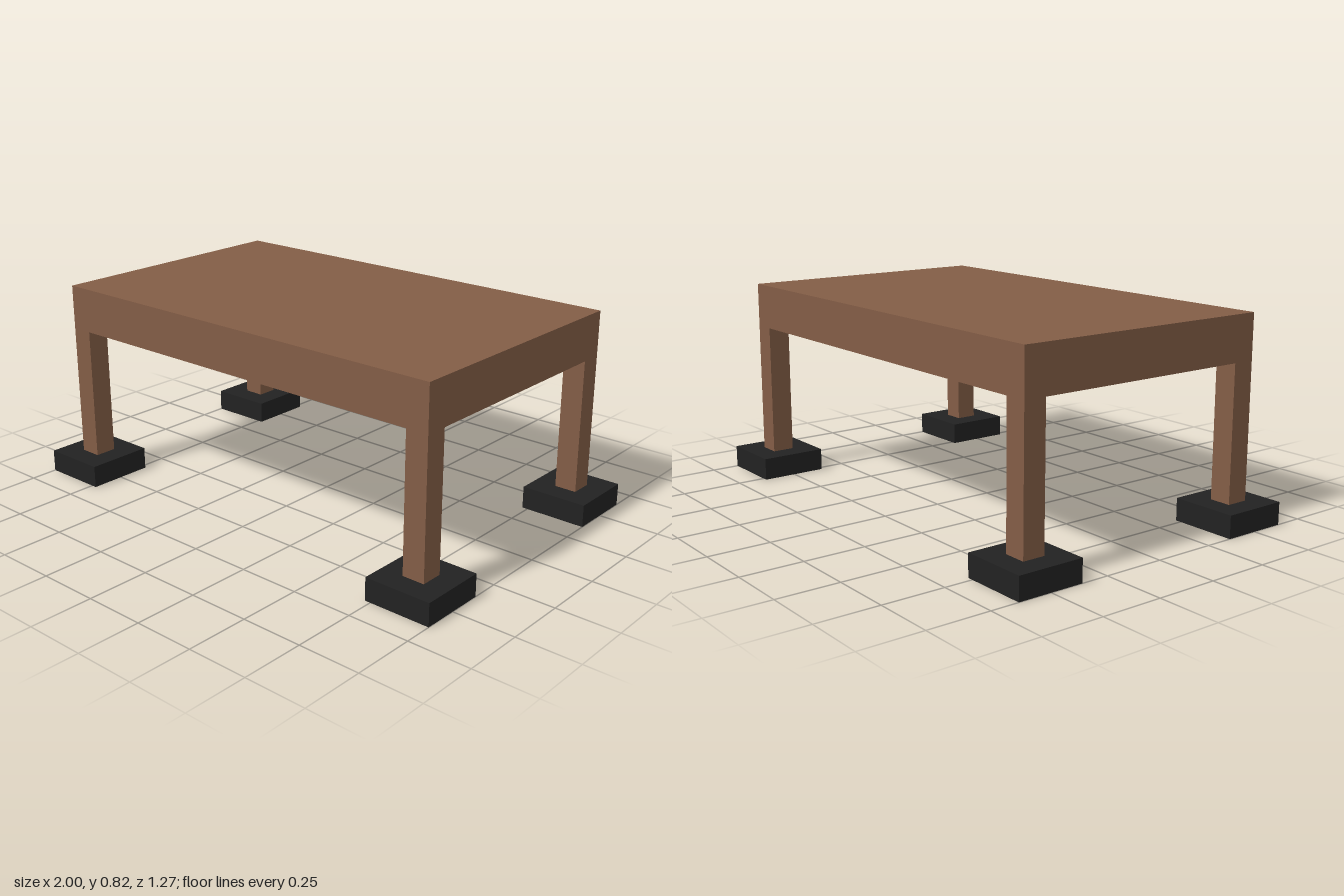
import * as THREE from 'three';

// One building unit: the table is 22 units long
const U = 1 / 11;

export function createModel() {
  const model = new THREE.Group();
  model.name = 'table';

  const wood = new THREE.MeshStandardMaterial({ color: 0x835d46 });
  wood.name = 'brownWood';
  const black = new THREE.MeshStandardMaterial({ color: 0x222222 });
  black.name = 'blackFoot';

  // Box sized and centred in x and z in units, standing on height y
  function block(name, material, w, h, d, x, y, z) {
    const mesh = new THREE.Mesh(new THREE.BoxGeometry(w * U, h * U, d * U), material);
    mesh.position.set(x * U, (y + h / 2) * U, z * U);
    mesh.name = name;
    model.add(mesh);
  }

  // Table top
  block('tableTop', wood, 20, 1, 12, 0, 8, 0);

  // Apron: a rectangular frame under the top
  const rectangle = (PathType, w, d) => new PathType([
    [-w, -d], [w, -d], [w, d], [-w, d],
  ].map(([x, y]) => new THREE.Vector2(x * U / 2, y * U / 2)));
  const frame = rectangle(THREE.Shape, 20, 12);
  frame.holes.push(rectangle(THREE.Path, 18, 10));
  const apronGeometry = new THREE.ExtrudeGeometry(frame, { depth: U, bevelEnabled: false });
  apronGeometry.rotateX(-Math.PI / 2);
  const apron = new THREE.Mesh(apronGeometry, wood);
  apron.position.y = 7 * U;
  apron.name = 'apron';
  model.add(apron);

  // Four legs, each standing on a square foot
  for (const sx of [-1, 1]) {
    for (const sz of [-1, 1]) {
      const corner = (sz > 0 ? 'front' : 'back') + (sx > 0 ? 'Left' : 'Right');
      block(corner + 'Leg', wood, 1, 6, 1, sx * 9.5, 1, sz * 5.5);
      block(corner + 'Foot', black, 3, 1, 3, sx * 9.5, 0, sz * 5.5);
    }
  }

  return model;
}
